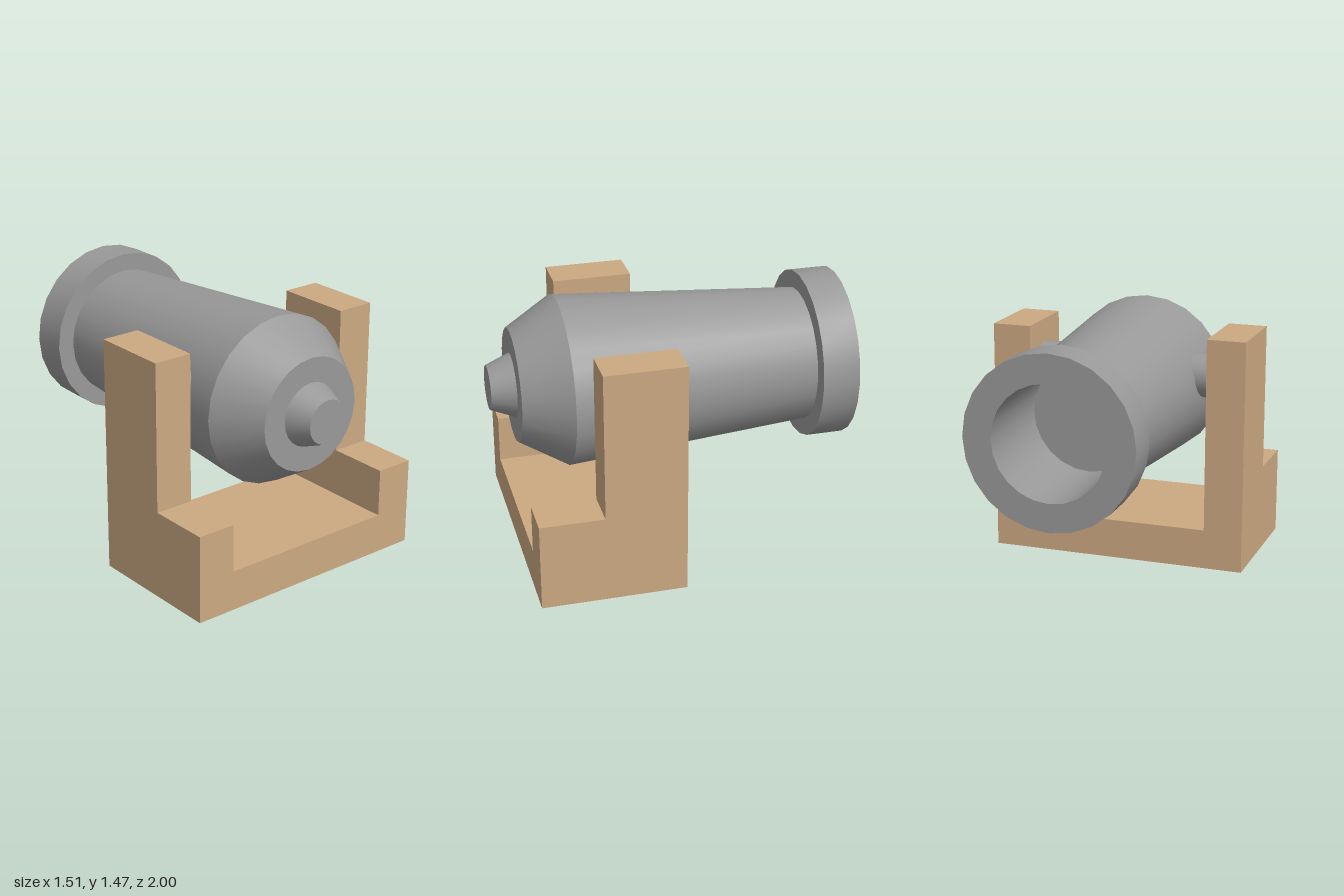
import * as THREE from 'three';
import { toCreasedNormals } from 'three/addons/utils/BufferGeometryUtils.js';

export function createModel() {
  const model = new THREE.Group();
  model.name = 'cannon';
  const iron = new THREE.MeshStandardMaterial({ color: 0x999999 });
  const wood = new THREE.MeshStandardMaterial({ color: 0xcca982 });

  const add = (name, geometry, material, x = 0, y = 0, z = 0) => {
    const mesh = new THREE.Mesh(geometry, material);
    mesh.name = name;
    mesh.position.set(x, y, z);
    model.add(mesh);
    return mesh;
  };

  // Barrel: radius and z, from the bore floor, round the muzzle ring, to the breech knob
  const profile = [
    [0, -0.4], [0.32, -0.4], [0.32, -1], [0.48, -1], [0.48, -0.79], [0.38, -0.79],
    [0.48, 0.6], [0.32, 0.865], [0.18, 0.865], [0.125, 1], [0, 1],
  ].map(([r, z]) => new THREE.Vector2(r, z));
  const barrel = new THREE.LatheGeometry(profile, 24).rotateX(Math.PI / 2);
  add('barrel', toCreasedNormals(barrel, 0.4), iron, 0, 0.985, 0);

  // Pivot pins on both sides of the barrel
  for (const side of [-1, 1]) {
    const pin = new THREE.CylinderGeometry(0.127, 0.127, 0.25, 24).rotateZ(Math.PI / 2);
    add(side > 0 ? 'leftTrunnion' : 'rightTrunnion', pin, iron, side * 0.41, 1.09, 0.285);
  }

  // Stepped side walls of the carriage, drawn in (z, y) and extruded along x
  const wall = new THREE.Shape([
    [0.06, 0], [0.875, 0], [0.875, 0.505], [0.515, 0.505], [0.515, 1.35], [0.06, 1.35],
  ].map(([z, y]) => new THREE.Vector2(-z, y)));
  const thickness = 0.225;
  const wallGeometry = new THREE.ExtrudeGeometry(wall, { depth: thickness, bevelEnabled: false })
    .translate(0, 0, -thickness / 2)
    .rotateY(Math.PI / 2);
  for (const side of [-1, 1]) {
    add(side > 0 ? 'leftWall' : 'rightWall', wallGeometry, wood, side * 0.6425, 0, 0);
  }

  // Floor of the carriage between the walls
  add('carriageFloor', new THREE.BoxGeometry(1.06, 0.23, 0.815), wood, 0, 0.115, 0.4675);

  return model;
}
